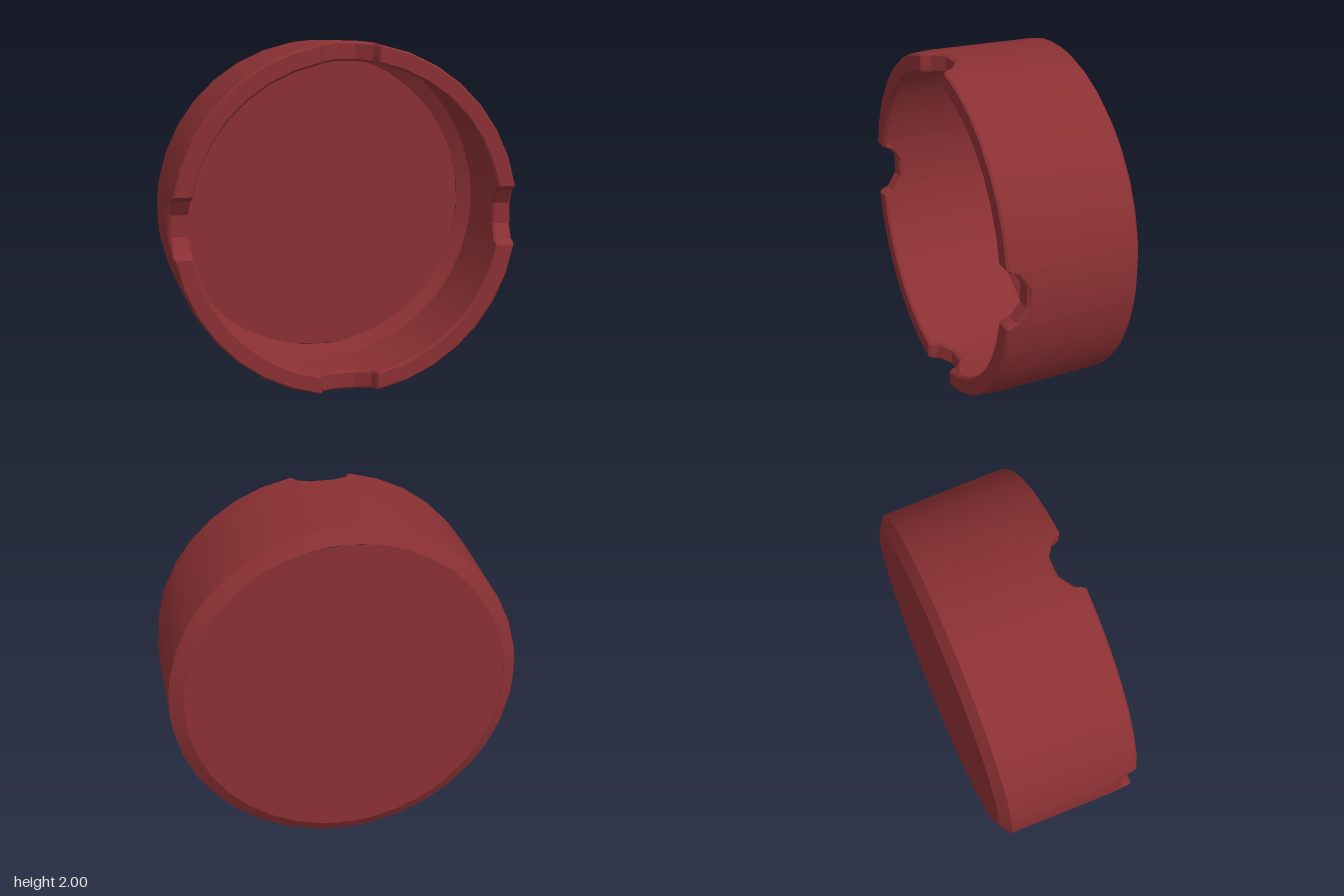
import * as THREE from 'three';
import { toCreasedNormals } from 'three/addons/utils/BufferGeometryUtils.js';

const RIM = 0.4, BACK = -0.405;

// Half of a rest notch: sideways offset and height of the rim there
const NOTCH = [[0.172, RIM], [0.16, 0.387], [0.143, 0.345], [0.06, 0.29]];

// Columns around the cup: plain wall every 10 degrees, plus four notches
function makeColumns() {
  const columns = [];
  for (let q = 0; q < 4; q++) {
    const centre = q * Math.PI / 2;
    for (const [w, z] of NOTCH) columns.push({ centre, w: -w, z });
    for (const [w, z] of [...NOTCH].reverse()) columns.push({ centre, w, z });
    for (let d = 20; d <= 70; d += 10) {
      columns.push({ centre: centre + THREE.MathUtils.degToRad(d), w: 0, z: RIM });
    }
  }
  return columns;
}

// Sweeps rows of [radius, height rule] round the cup axis
function sweep(rows) {
  const columns = makeColumns();
  const point = ([r, height], c) => {
    const a = c.centre + (r > 0.2 ? Math.asin(c.w / r) : 0);
    return [r * Math.cos(a), r * Math.sin(a), height(c.z)];
  };
  const positions = [];
  for (let i = 0; i < rows.length - 1; i++) {
    columns.forEach((c, j) => {
      const next = columns[(j + 1) % columns.length];
      const a = point(rows[i], c), b = point(rows[i], next);
      const d = point(rows[i + 1], c), e = point(rows[i + 1], next);
      if (rows[i][0] > 0) positions.push(...a, ...b, ...e);
      positions.push(...a, ...e, ...d);
    });
  }
  const geometry = new THREE.BufferGeometry();
  geometry.setAttribute('position', new THREE.Float32BufferAttribute(positions, 3));
  return toCreasedNormals(geometry, THREE.MathUtils.degToRad(28));
}

export function createModel() {
  const group = new THREE.Group();
  group.name = 'notchedCup';
  const darkRed = new THREE.MeshStandardMaterial({ color: 0x8a3033, side: THREE.DoubleSide });
  darkRed.name = 'dark red';

  const add = (name, geometry) => {
    const mesh = new THREE.Mesh(geometry, darkRed);
    mesh.name = name;
    mesh.position.y = 1;
    group.add(mesh);
  };

  // Flat round base closing the back
  const base = new THREE.CircleGeometry(0.91, 36);
  base.rotateY(Math.PI);
  base.translate(0, 0, BACK);
  add('base', base);

  // Chamfer, thin wall, then the bevelled rim turned inward to a short lip
  add('wallAndRim', sweep([
    [0.91, () => BACK],
    [0.99, () => -0.355],
    [1.0, () => 0.27],
    [0.994, z => z - 0.012],
    [0.984, z => z],
    [0.9, z => z],
    [0.888, z => z - 0.012],
    [0.888, z => z - 0.025],
  ]));
  return group;
}
